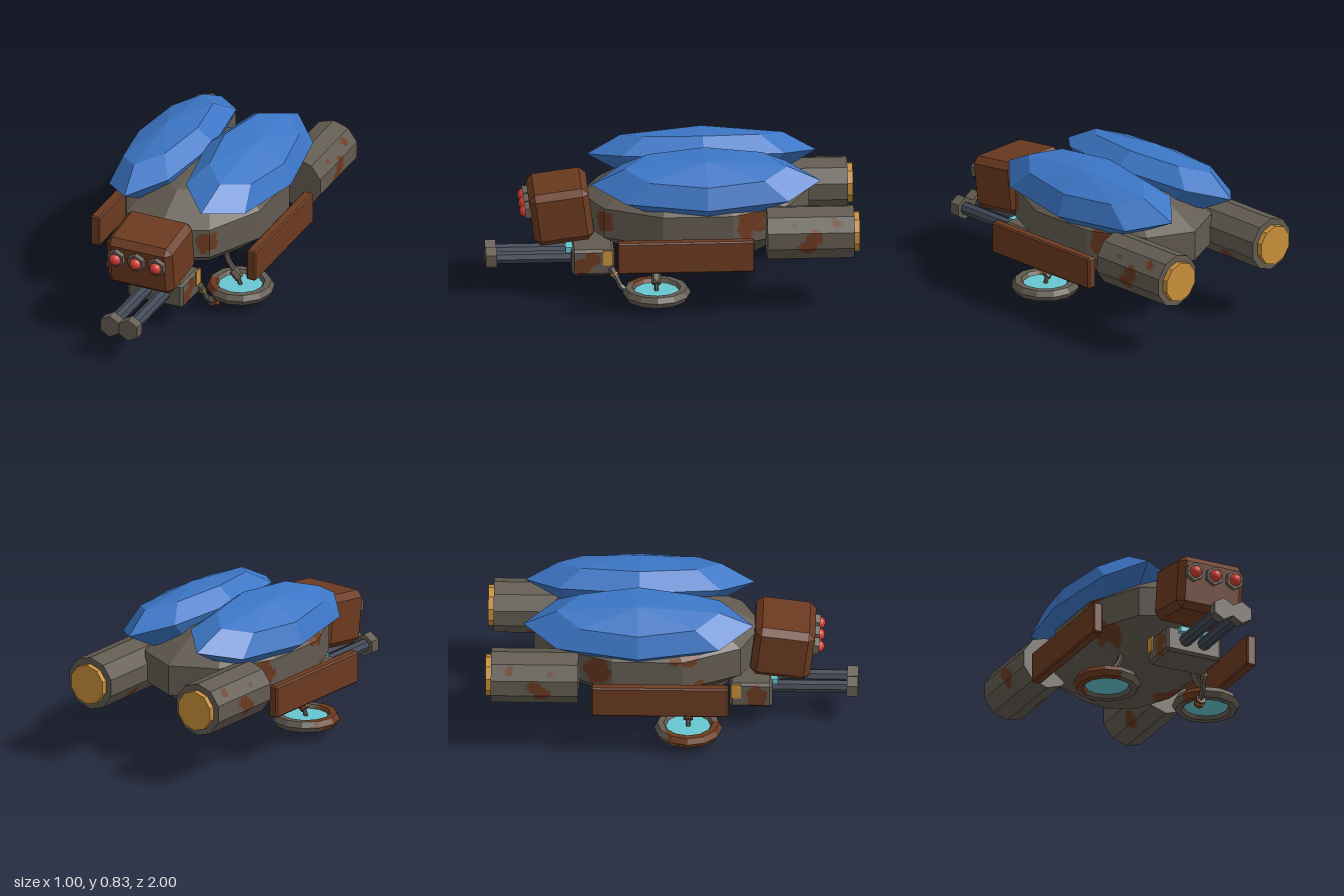
import * as THREE from 'three';
import { ConvexGeometry } from 'three/addons/geometries/ConvexGeometry.js';

const mat = (name, color) => Object.assign(new THREE.MeshStandardMaterial({ color }), { name });

// faceted normals
function flat(geo) {
  const g = geo.index ? geo.toNonIndexed() : geo;
  g.computeVertexNormals();
  return g;
}

// box with every edge cut by c
function chamferBox(w, h, d, c) {
  const pts = [];
  for (const x of [-1, 1]) for (const y of [-1, 1]) for (const z of [-1, 1])
    for (const k of [0, 1, 2]) {
      pts.push(new THREE.Vector3(
        x * (w / 2 - (k === 0 ? 0 : c)),
        y * (h / 2 - (k === 1 ? 0 : c)),
        z * (d / 2 - (k === 2 ? 0 : c))));
    }
  return new ConvexGeometry(pts);
}

// split each face finely, then put the pieces inside any blob [x, y, z, r] in a second material group
function stain(geo, blobs, levels) {
  const src = geo.index ? geo.toNonIndexed() : geo;
  const p = src.attributes.position, lists = [[], []];
  const c = new THREE.Vector3();
  const inside = ([x, y, z, r]) => {
    const wobble = 1 + 0.18 * Math.sin(c.x * 60 + c.z * 37) + 0.14 * Math.sin(c.y * 71 - c.z * 53);
    return Math.hypot(c.x - x, c.y - y, c.z - z) < r * wobble;
  };
  const split = (a, b, d, n) => {
    if (n > 0) {
      const ab = a.clone().lerp(b, 0.5), bd = b.clone().lerp(d, 0.5), da = d.clone().lerp(a, 0.5);
      split(a, ab, da, n - 1); split(ab, b, bd, n - 1); split(da, bd, d, n - 1); split(ab, bd, da, n - 1);
      return;
    }
    c.copy(a).add(b).add(d).divideScalar(3);
    const list = lists[blobs.some(inside) ? 1 : 0];
    for (const v of [a, b, d]) list.push(v.x, v.y, v.z);
  };
  const vert = i => new THREE.Vector3().fromBufferAttribute(p, i);
  for (let i = 0; i < p.count; i += 3) split(vert(i), vert(i + 1), vert(i + 2), levels);
  const out = new THREE.BufferGeometry();
  out.setAttribute('position', new THREE.Float32BufferAttribute(lists[0].concat(lists[1]), 3));
  out.addGroup(0, lists[0].length / 3, 0);
  out.addGroup(lists[0].length / 3, lists[1].length / 3, 1);
  out.computeVertexNormals();
  return out;
}

export function createModel() {
  const grey = mat('worn metal', 0x625b51), brown = mat('rust brown', 0x6b3a20);
  const blue = mat('shell blue', 0x3c76c6), gold = mat('gold', 0xc8903a);
  const cyan = mat('glass cyan', 0x66c6d0), red = mat('eye red', 0xd23c32);
  const slate = mat('barrel slate', 0x424957);
  const rusty = [grey, brown];

  const model = new THREE.Group();
  model.name = 'beetleCraft';
  const add = (name, geo, material, x = 0, y = 0, z = 0, parent = model) => {
    const m = new THREE.Mesh(Array.isArray(material) ? geo : flat(geo), material);
    m.name = name;
    m.position.set(x, y, z);
    parent.add(m);
    return m;
  };
  const prism = (r, len, n) => new THREE.CylinderGeometry(r, r, len, n).rotateX(Math.PI / 2);
  // rod between two points
  const rod = (name, a, b, r, material, n = 6) => {
    const p = new THREE.Vector3(...a), q = new THREE.Vector3(...b), d = q.clone().sub(p);
    const m = add(name, new THREE.CylinderGeometry(r, r, d.length(), n), material);
    m.position.copy(p).lerp(q, 0.5);
    m.quaternion.setFromUnitVectors(new THREE.Vector3(0, 1, 0), d.normalize());
    return m;
  };

  // body
  const hull = new THREE.SphereGeometry(1, 10, 5).rotateY(Math.PI / 2)
    .scale(0.442, 0.27, 0.65).translate(0, 0.474, -0.13);
  add('body', stain(hull, [
    [0.38, 0.5, -0.42, 0.09], [0.23, 0.48, 0.36, 0.06], [-0.33, 0.34, 0.15, 0.08],
    [-0.35, 0.6, 0.08, 0.09], [0.28, 0.3, -0.12, 0.08], [0.2, 0.25, -0.22, 0.07],
    [-0.36, 0.48, -0.4, 0.07],
  ], 4), rusty);

  // head with three eyes
  const head = new THREE.Group();
  head.name = 'head';
  head.position.set(0, 0.478, 0.595);
  head.rotation.x = 0.13;
  model.add(head);
  add('headBlock', chamferBox(0.39, 0.295, 0.325, 0.035), brown, 0, 0, 0, head);
  for (const x of [-0.12, 0, 0.12]) {
    add('eyeSocket', prism(0.052, 0.05, 6), grey, x, 0.05, 0.165, head);
    add('eye', new THREE.IcosahedronGeometry(0.034, 2), red, x, 0.05, 0.187, head);
  }

  for (const s of [-1, 1]) {
    // shell halves
    const shell = add('shellHalf', new THREE.SphereGeometry(1, 8, 4).scale(0.257, 0.142, 0.62), blue, s * 0.228, 0.69, -0.18);
    shell.rotation.z = -s * 0.28;

    // thrusters
    const tube = prism(0.147, 0.47, 10).translate(s * 0.36, 0.445, -0.735);
    add('thruster', stain(tube, [
      [s * 0.5, 0.41, -0.71, 0.045], [s * 0.49, 0.46, -0.75, 0.04], [s * 0.48, 0.53, -0.65, 0.018],
      [s * 0.47, 0.54, -0.87, 0.025], [s * 0.27, 0.34, -0.74, 0.05],
    ], 4), rusty);
    add('thrusterNozzle', prism(0.111, 0.04, 10), gold, s * 0.36, 0.445, -0.98);

    // side panels
    add('sidePanel', chamferBox(0.056, 0.177, 0.74, 0.008), brown, s * 0.463, 0.358, -0.06);

    // lamps hung under the body
    const ring = new THREE.TorusGeometry(0.15, 0.035, 6, 12).rotateX(Math.PI / 2).translate(s * 0.3, 0.09, 0.09);
    add('lampRing', stain(ring, s < 0
      ? [[-0.43, 0.09, 0.12, 0.15], [-0.36, 0.09, 0.23, 0.09]]
      : [[0.19, 0.09, 0.18, 0.07], [0.42, 0.09, 0.14, 0.03]], 2), rusty);
    add('lampGlass', new THREE.CylinderGeometry(0.122, 0.122, 0.02, 12), cyan, s * 0.3, 0.09, 0.09);
    const path = new THREE.CatmullRomCurve3([[0.215, 0.29], [0.22, 0.25], [0.24, 0.21], [0.275, 0.165]]
      .map(([x, y]) => new THREE.Vector3(s * x, y, 0.09)));
    add('lampStrut', new THREE.TubeGeometry(path, 5, 0.015, 6), grey);
    rod('lampJoint', [s * 0.255, 0.175, 0.09], [s * 0.295, 0.135, 0.09], 0.026, s < 0 ? brown : grey);
    add('lampPin', new THREE.IcosahedronGeometry(0.009, 1), gold, s * 0.3, 0.157, 0.09);
    rod('lampStem', [s * 0.285, 0.145, 0.09], [s * 0.3, 0.095, 0.09], 0.012, grey);

    // twin barrels
    add('barrel', prism(0.036, 0.44, 8), slate, s * 0.055, 0.21, 0.74);
    add('muzzle', prism(0.063, 0.06, 6), grey, s * 0.055, 0.21, 0.97);
    add('gunSidePlate', new THREE.BoxGeometry(0.008, 0.085, 0.055), gold, s * 0.167, 0.24, 0.345);
  }

  // gun housing
  add('gunHousing', stain(chamferBox(0.33, 0.147, 0.23, 0.015).translate(0, 0.21, 0.425), [
    [0.165, 0.19, 0.49, 0.045], [0.165, 0.23, 0.42, 0.04], [-0.165, 0.2, 0.45, 0.06],
  ], 4), rusty);
  add('gunSight', new THREE.BoxGeometry(0.195, 0.03, 0.05), cyan, 0, 0.262, 0.545);

  // small jointed arm on the left
  rod('armUpper', [0.17, 0.185, 0.33], [0.178, 0.13, 0.3], 0.02, grey);
  rod('armCollar', [0.175, 0.158, 0.317], [0.176, 0.148, 0.311], 0.023, gold);
  rod('armLower', [0.178, 0.135, 0.302], [0.186, 0.08, 0.275], 0.015, grey);
  rod('armWrist', [0.186, 0.085, 0.278], [0.198, 0.038, 0.22], 0.016, grey);
  rod('armTip', [0.197, 0.042, 0.235], [0.202, 0.028, 0.19], 0.027, brown);
  rod('armTipBand', [0.199, 0.037, 0.217], [0.2, 0.034, 0.209], 0.029, gold);

  return model;
}
